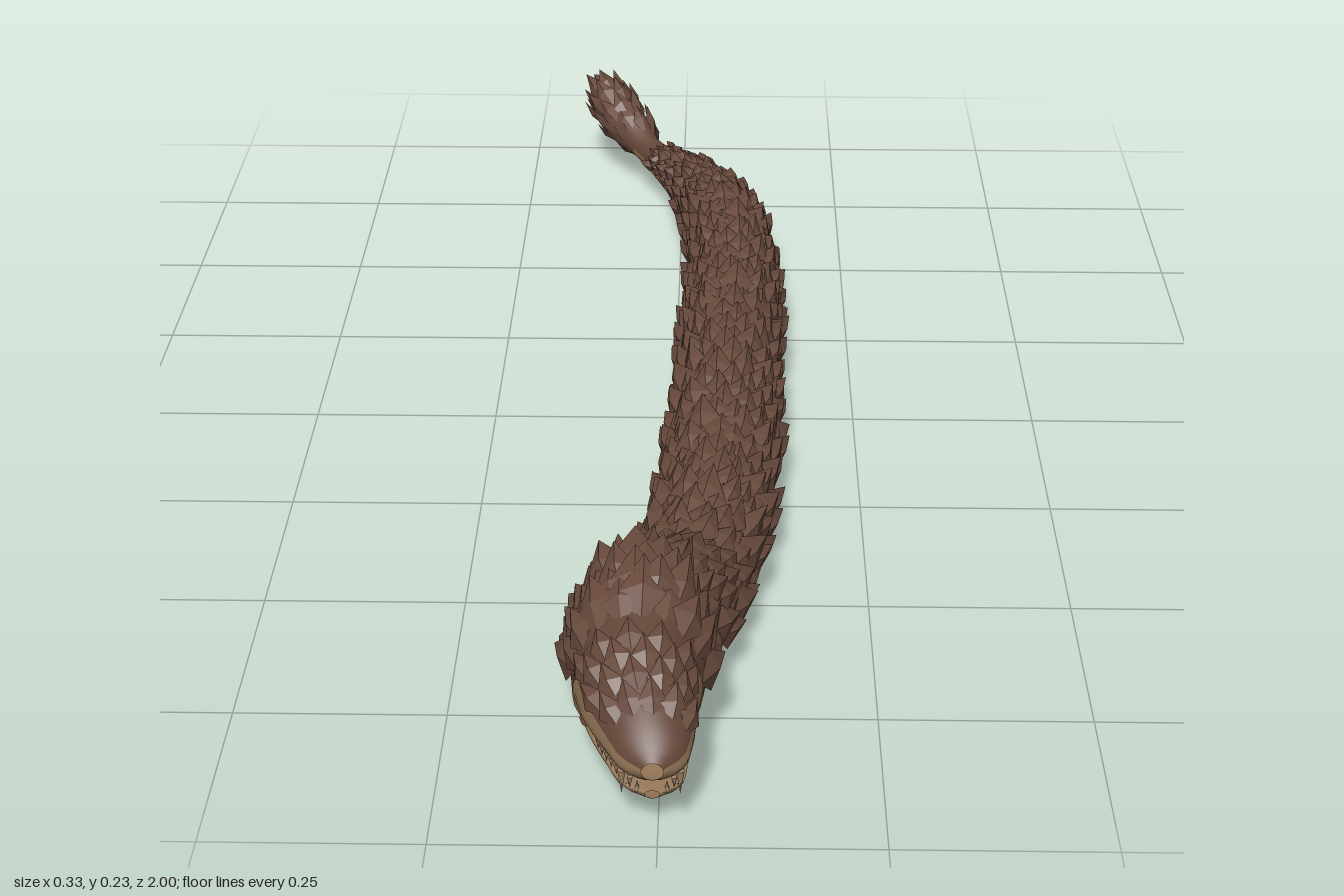
import * as THREE from 'three';

const mat = (name, color, extra = {}) => Object.assign(new THREE.MeshStandardMaterial({ color, side: THREE.DoubleSide, ...extra }), { name });

// Cross-sections from tail to head: z, centre x, half width, bottom y, side y, top y
const BODY = [
  [-0.985, -0.148, 0.006, 0.125, 0.132, 0.138],
  [-0.93, -0.115, 0.026, 0.085, 0.105, 0.135],
  [-0.88, -0.09, 0.036, 0.06, 0.085, 0.118],
  [-0.84, -0.06, 0.024, 0.048, 0.07, 0.092],
  [-0.78, -0.016, 0.033, 0.026, 0.058, 0.09],
  [-0.7, 0.025, 0.045, 0.012, 0.055, 0.102],
  [-0.58, 0.058, 0.054, 0.008, 0.055, 0.118],
  [-0.4, 0.08, 0.06, 0.006, 0.057, 0.133],
  [-0.1, 0.078, 0.065, 0.005, 0.058, 0.137],
  [0.2, 0.066, 0.069, 0.005, 0.058, 0.138],
  [0.45, 0.045, 0.07, 0.005, 0.058, 0.138],
  [0.6, 0.015, 0.071, 0.005, 0.06, 0.15],
  [0.68, -0.005, 0.073, 0.006, 0.068, 0.185],
  [0.75, -0.025, 0.078, 0.01, 0.083, 0.208],
  [0.8, -0.025, 0.077, 0.026, 0.097, 0.204],
  [0.86, -0.025, 0.072, 0.05, 0.105, 0.19],
];
const UPPER_JAW = [
  [0.85, -0.025, 0.073, 0.075, 0.107, 0.192],
  [0.91, -0.02, 0.062, 0.078, 0.11, 0.175],
  [0.96, -0.01, 0.047, 0.08, 0.107, 0.149],
  [0.985, -0.006, 0.034, 0.082, 0.102, 0.13],
  [1.0, -0.005, 0.012, 0.092, 0.102, 0.113],
];
const LOWER_JAW = [
  [0.8, -0.025, 0.07, 0.026, 0.07, 0.09],
  [0.86, -0.022, 0.062, 0.04, 0.066, 0.074],
  [0.92, -0.013, 0.045, 0.044, 0.058, 0.063],
  [0.955, -0.007, 0.03, 0.042, 0.053, 0.058],
  [0.97, -0.006, 0.008, 0.047, 0.053, 0.057],
];

// Returns a surface function (z, angle) for a list of cross-sections
function surfaceOf(rows) {
  const spline = new THREE.CubicInterpolant(rows.map(r => r[0]), rows.flatMap(r => r.slice(1)), 5, new Float32Array(5));
  return (z, a) => {
    const [cx, hw, yb, ys, yt] = spline.evaluate(z);
    const s = Math.sin(a);
    return new THREE.Vector3(cx + hw * Math.cos(a), ys + s * (s > 0 ? yt - ys : ys - yb), z);
  };
}

// Skins part of a surface between two angles
function loft(name, surface, z0, z1, a0, a1, n, m, material) {
  const pos = [], idx = [];
  for (let i = 0; i <= n; i++) for (let j = 0; j <= m; j++) {
    pos.push(...surface(z0 + (z1 - z0) * i / n, a0 + (a1 - a0) * j / m).toArray());
    if (i < n && j < m) {
      const a = i * (m + 1) + j, c = a + m + 1;
      idx.push(a, a + 1, c, a + 1, c + 1, c);
    }
  }
  return finish(name, pos, material, idx);
}

function finish(name, pos, material, idx) {
  const g = new THREE.BufferGeometry();
  g.setAttribute('position', new THREE.Float32BufferAttribute(pos, 3));
  if (idx) g.setIndex(idx);
  g.computeVertexNormals();
  const mesh = new THREE.Mesh(g, material);
  mesh.name = name;
  return mesh;
}

// Adds one ridged pointed leaf scale
function leaf(out, base, dir, normal, len, width, lift) {
  const side = new THREE.Vector3().crossVectors(normal, dir).normalize();
  const at = (d, s, h) => base.clone().addScaledVector(dir, d * len).addScaledVector(side, s * width).addScaledVector(normal, h);
  const b = at(0, 0, -0.003), l = at(0.45, -0.5, lift * 0.2), r = at(0.45, 0.5, lift * 0.2);
  const c = at(0.5, 0, lift * 0.6 + 0.005), t = at(1, 0, lift);
  for (const p of [b, r, c, r, t, c, t, l, c, l, b, c]) out.push(p.x, p.y, p.z);
}

export function createModel() {
  const hide = mat('dark brown hide', 0x644638);
  const scale = mat('brown scales', 0x684a3c, { flatShading: true });
  const belly = mat('tan belly', 0x967858);
  const mouth = mat('mouth lining', 0x6e4a3a);
  const ivory = mat('teeth', 0xa08468);
  const model = new THREE.Group();
  model.name = 'serpent';
  let seed = 7;
  const rnd = () => (seed = (seed * 16807) % 2147483647) / 2147483647;
  const PI = Math.PI, body = surfaceOf(BODY), upper = surfaceOf(UPPER_JAW), lower = surfaceOf(LOWER_JAW);

  // Body, with the tan underside ending where the tail tuft starts
  model.add(
    loft('back', body, -0.985, 0.86, 0, PI, 90, 14, hide),
    loft('belly', body, -0.84, 0.86, PI, 2 * PI, 90, 14, belly),
    loft('tailUnderside', body, -0.985, -0.84, PI, 2 * PI, 10, 10, hide),
    loft('snout', upper, 0.85, 1, 0.3, PI - 0.3, 14, 14, hide),
    loft('cheeks', upper, 0.85, 1, PI - 0.3, 2 * PI + 0.3, 14, 16, belly),
    loft('lowerJaw', lower, 0.8, 0.97, 0, 2 * PI, 14, 20, belly),
  );

  // Throat wall and tongue
  const throat = new THREE.Mesh(new THREE.CircleGeometry(1, 20), mouth);
  throat.name = 'throat';
  throat.scale.set(0.066, 0.028, 1);
  throat.position.set(-0.024, 0.078, 0.862);
  const tongue = new THREE.Mesh(new THREE.SphereGeometry(1, 14, 8), mouth);
  tongue.name = 'tongue';
  tongue.scale.set(0.022, 0.006, 0.05);
  tongue.position.set(-0.012, 0.064, 0.9);
  model.add(throat, tongue);

  // Teeth along both jaws, longer at the fangs
  for (const [name, surf, zMax, yBase, dir] of [['upperTooth', upper, 0.988, 0.088, -1], ['lowerTooth', lower, 0.962, 0.052, 1]])
    for (let i = 0; i < 7; i++) for (const s of [-1, 1]) {
      const z = zMax - i * 0.012, h = i === 1 ? 0.03 : 0.014;
      const p = surf(z, s > 0 ? 0 : PI), mid = surf(z, PI / 2).x;
      const tooth = new THREE.Mesh(new THREE.ConeGeometry(i === 1 ? 0.005 : 0.0035, h, 6), ivory);
      tooth.name = name;
      tooth.position.set(mid + (p.x - mid) * 0.78, yBase + dir * h / 2, z);
      if (dir < 0) tooth.rotation.x = PI;
      model.add(tooth);
    }

  // Leaf scales laid over a surface, pointing to the tail
  const scatter = (out, surf, z, a, len, width, lift) => {
    const p = surf(z, a), e = 0.01;
    const da = surf(z, a + e).sub(surf(z, a - e));
    const dz = surf(z + e, a).sub(surf(z - e, a)).normalize();
    leaf(out, p, dz.clone().negate(), da.cross(dz).normalize(), len, width, lift);
  };
  const backScales = [];
  for (let row = 0; row < 46; row++) {
    const z = 0.62 - row * 0.031;
    const size = z < -0.45 ? 1 - (-0.45 - z) * 1.5 : 1;
    for (let k = 0; k < 9; k++) {
      const a = 0.03 + (k + (row % 2) * 0.5) / 8.5 * (PI - 0.06);
      scatter(backScales, body, z + (rnd() - 0.5) * 0.02, a + (rnd() - 0.5) * 0.12,
        (0.06 + rnd() * 0.035) * size, (0.036 + rnd() * 0.016) * size, (0.005 + rnd() * 0.016) * size);
    }
  }
  model.add(finish('backScales', backScales, scale));

  // Broad head scales and the ragged crest behind them
  const headScales = [];
  for (let row = 0; row < 9; row++) for (let k = 0; k < 9; k++) {
    const a = 0.08 + (k + (row % 2) * 0.5) / 8.5 * (PI - 0.16);
    scatter(headScales, body, 0.845 - row * 0.025, a + (rnd() - 0.5) * 0.1,
      0.065 + rnd() * 0.03, 0.045 + rnd() * 0.015, 0.005 + rnd() * 0.014);
  }
  for (let row = 0; row < 4; row++) for (let k = 0; k < 5; k++)
    scatter(headScales, upper, 0.965 - row * 0.025, 0.5 + (k + (row % 2) * 0.5) / 4.5 * (PI - 1), 0.05, 0.032, 0.005);
  for (let k = 0; k < 5; k++)
    scatter(headScales, body, 0.75, 0.7 + k * 0.42, 0.08, 0.035, 0.018);
  model.add(finish('headScales', headScales, scale));

  // Tail tuft of leaves fanning round the tail end
  const tuft = [], tip = new THREE.Vector3(-0.152, 0.14, -0.997);
  for (let ring = 0; ring < 4; ring++) for (let k = 0; k < 9; k++) {
    const a = (k + ring * 0.5) / 9 * 2 * PI, p = body(-0.845 - ring * 0.025, a);
    const out = new THREE.Vector3(Math.cos(a), Math.sin(a) * 0.8, 0).normalize();
    const dir = tip.clone().sub(p).normalize().addScaledVector(out, 0.28).normalize();
    leaf(tuft, p, dir, out, 0.055 + rnd() * 0.015, 0.034, 0.007);
  }
  for (let k = 0; k < 5; k++) {
    const p = body(-0.925, k / 5 * 2 * PI), dir = tip.clone().sub(p);
    const len = dir.length();
    leaf(tuft, p, dir.normalize(), new THREE.Vector3(Math.cos(k * 1.257), Math.sin(k * 1.257), 0), len, 0.03, 0.002);
  }
  model.add(finish('tailTuft', tuft, scale));
  return model;
}
